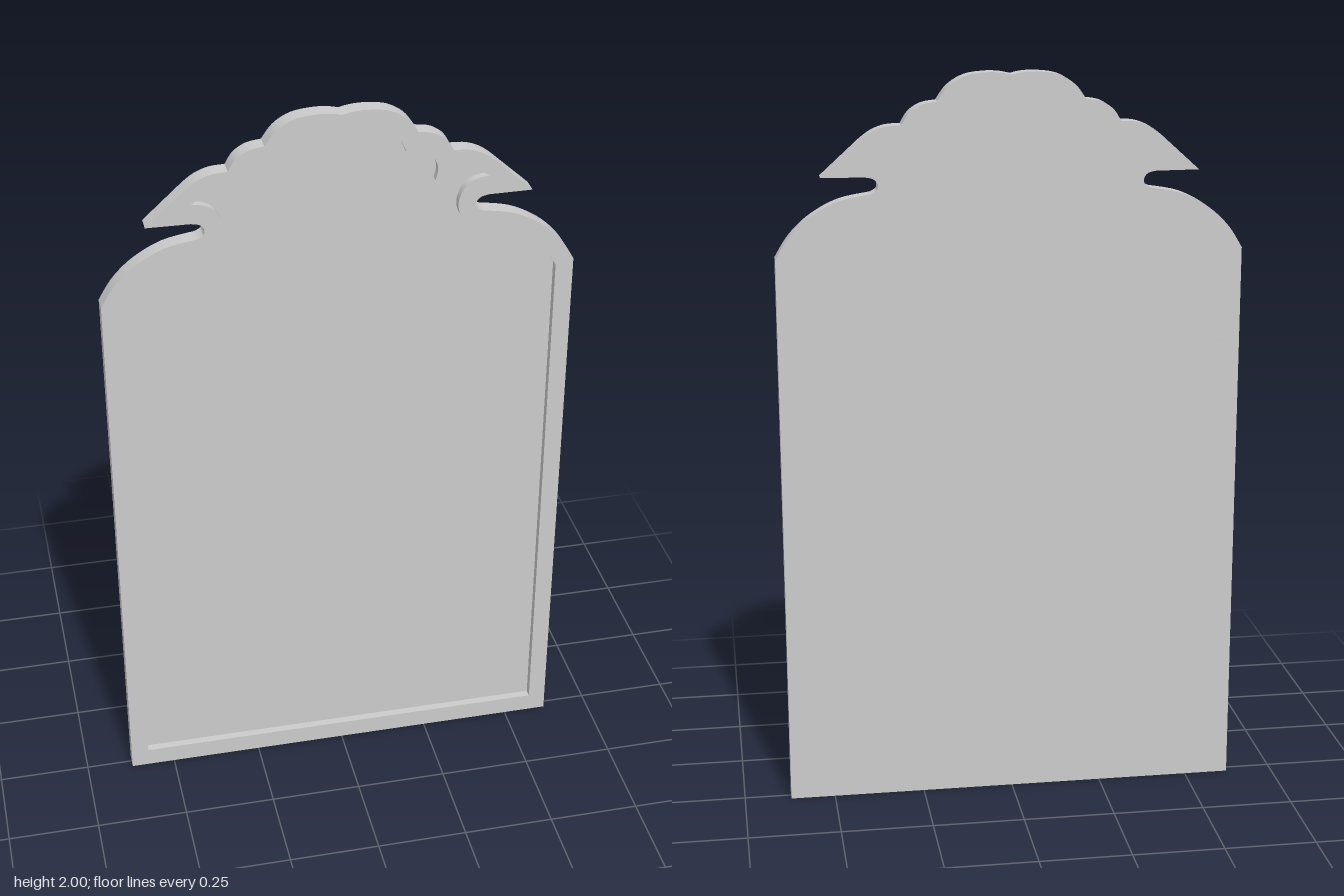
import * as THREE from 'three';
import { toCreasedNormals } from 'three/addons/utils/BufferGeometryUtils.js';

const BACK = -0.0235, FRONT = 0.0235, RECESS = 0.002;

// Each run is a smooth curve (or a straight line for two points); runs meet at sharp corners.
// Runs go up the +x side from the bottom corner to the crown at x = 0.
const outerRuns = [
  [[0.622, 0], [0.622, 1.525]],
  [[0.622, 1.525], [0.585, 1.583], [0.53, 1.635], [0.455, 1.675], [0.37, 1.692]],
  [[0.37, 1.692], [0.354, 1.702], [0.353, 1.719], [0.364, 1.731], [0.385, 1.736]],
  [[0.385, 1.736], [0.5, 1.737]],
  [[0.5, 1.737], [0.395, 1.832]],
  [[0.395, 1.832], [0.367, 1.852], [0.33, 1.866], [0.288, 1.869]],
  [[0.288, 1.869], [0.268, 1.9], [0.235, 1.921], [0.195, 1.928]],
  [[0.195, 1.928], [0.166, 1.966], [0.122, 1.992], [0.07, 2], [0.03, 1.999], [0, 1.993]],
];
const innerRuns = [
  [[0.574, 0.052], [0.574, 1.511]],
  [[0.574, 1.511], [0.543, 1.559], [0.495, 1.606], [0.438, 1.634], [0.37, 1.646]],
  [[0.37, 1.646], [0.332, 1.66], [0.309, 1.69], [0.305, 1.725], [0.32, 1.762], [0.347, 1.782], [0.383, 1.789]],
  [[0.383, 1.789], [0.351, 1.81], [0.31, 1.82], [0.27, 1.815], [0.242, 1.79]],
  [[0.242, 1.79], [0.248, 1.823], [0.236, 1.853], [0.205, 1.874], [0.167, 1.872]],
  [[0.167, 1.872], [0.146, 1.915], [0.112, 1.944], [0.07, 1.955], [0.03, 1.954], [0, 1.948]],
];

// Sample the runs, then mirror them to close a symmetric outline.
function outline(runs) {
  const half = [];
  runs.forEach((run, i) => {
    const pts = run.map(([x, y]) => new THREE.Vector2(x, y));
    const samples = pts.length === 2 ? pts : new THREE.SplineCurve(pts).getPoints((pts.length - 1) * 5);
    half.push(...(i ? samples.slice(1) : samples));
  });
  const mirrored = half.slice(0, -1).reverse().map((p) => new THREE.Vector2(-p.x, p.y));
  return [...half, ...mirrored];
}

function plate(name, shape, z0, z1, material) {
  const geometry = new THREE.ExtrudeGeometry(shape, { depth: z1 - z0, bevelEnabled: false });
  geometry.translate(0, 0, z0);
  const mesh = new THREE.Mesh(toCreasedNormals(geometry, 0.5), material);
  mesh.name = name;
  return mesh;
}

export function createModel() {
  const group = new THREE.Group();
  group.name = 'archedMirror';
  const material = new THREE.MeshStandardMaterial({ color: 0xcccccc });

  // Raised rim following the scalloped crest
  const inner = outline(innerRuns);
  const rim = new THREE.Shape(outline(outerRuns));
  rim.holes.push(new THREE.Path(inner));
  group.add(plate('frame', rim, BACK, FRONT, material));

  // Recessed panel, flush with the back of the frame
  group.add(plate('mirrorPanel', new THREE.Shape(inner), BACK, RECESS, material));
  return group;
}
